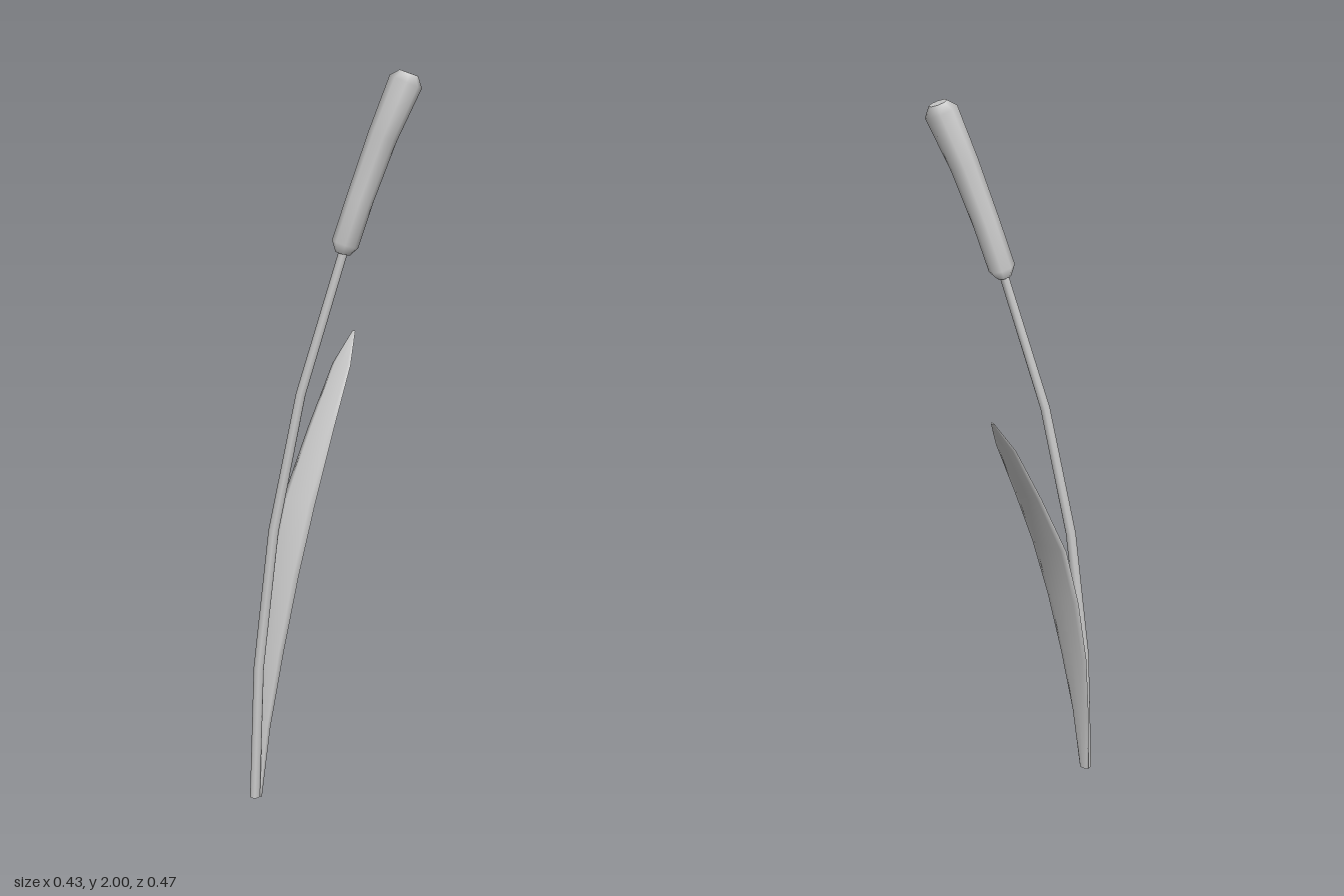
import * as THREE from 'three';

const material = new THREE.MeshStandardMaterial({ color: 0xcccccc });

// Skin elliptical rings along a spine. Station: [x, y, z, half width, half depth].
function loft(name, stations, sides, side) {
  const centres = stations.map(([x, y, z]) => new THREE.Vector3(x, y, z));
  const n = stations.length;
  const pos = [], index = [];
  const rings = stations.map(([, , , a, b], i) => {
    const t = centres[Math.min(i + 1, n - 1)].clone().sub(centres[Math.max(i - 1, 0)]).normalize();
    if (i === 0 && centres[0].y === 0) t.set(0, 1, 0); // flat foot on the floor
    const u = side.clone().addScaledVector(t, -side.dot(t)).normalize();
    const v = t.clone().cross(u);
    return Array.from({ length: sides }, (_, j) => {
      const w = (j / sides) * Math.PI * 2;
      return centres[i].clone().addScaledVector(u, a * Math.cos(w)).addScaledVector(v, b * Math.sin(w));
    });
  });
  rings.forEach((ring) => ring.forEach((p) => pos.push(p.x, p.y, p.z)));
  for (let i = 0; i < n - 1; i++) {
    for (let j = 0; j < sides; j++) {
      const k = (j + 1) % sides;
      const a = i * sides + j, b = i * sides + k;
      index.push(a, b, b + sides, a, b + sides, a + sides);
    }
  }
  // End caps with their own vertices, so their rims stay sharp
  for (const [i, flip] of [[0, true], [n - 1, false]]) {
    const c = pos.length / 3;
    pos.push(...centres[i].toArray());
    rings[i].forEach((p) => pos.push(p.x, p.y, p.z));
    for (let j = 0; j < sides; j++) {
      const p = c + 1 + j, q = c + 1 + ((j + 1) % sides);
      index.push(c, flip ? q : p, flip ? p : q);
    }
  }
  const geometry = new THREE.BufferGeometry();
  geometry.setAttribute('position', new THREE.Float32BufferAttribute(pos, 3));
  geometry.setIndex(index);
  geometry.computeVertexNormals();
  const mesh = new THREE.Mesh(geometry, material);
  mesh.name = name;
  return mesh;
}

export function createModel() {
  const group = new THREE.Group();
  group.name = 'reed';

  // Horizontal direction across the plane in which the stalk bends
  const across = new THREE.Vector3(0.61, 0, 0.79);
  const round = ([x, y, z, r]) => [x, y, z, r, r];

  // Bending stalk
  group.add(loft('stem', [
    [-0.16, 0, 0.223, 0.014],
    [-0.148, 0.38, 0.215, 0.014],
    [-0.114, 0.77, 0.187, 0.014],
    [-0.052, 1.15, 0.143, 0.013],
    [0.041, 1.54, 0.073, 0.012],
  ].map(round), 8, across));

  // Seed head, flaring towards its domed top
  group.add(loft('seedHead', [
    [0.037, 1.525, 0.075, 0.02],
    [0.042, 1.55, 0.071, 0.036],
    [0.074, 1.67, 0.048, 0.036],
    [0.12, 1.83, 0.013, 0.039],
    [0.167, 1.968, -0.022, 0.045],
    [0.173, 1.99, -0.027, 0.025],
  ].map(round), 8, across));

  // Long thin leaf arching backwards: [y, z, half width, half thickness]
  group.add(loft('leaf', [
    [0, 0.211, 0.015, 0.005],
    [0.2, 0.187, 0.028, 0.005],
    [0.41, 0.146, 0.044, 0.006],
    [0.62, 0.088, 0.053, 0.006],
    [0.81, 0.019, 0.057, 0.006],
    [1.0, -0.081, 0.045, 0.005],
    [1.17, -0.178, 0.032, 0.004],
    [1.258, -0.236, 0.005, 0.002],
  ].map(([y, z, a, b]) => [-0.16, y, z, a, b]), 8, new THREE.Vector3(1, 0, 0)));

  return group;
}
